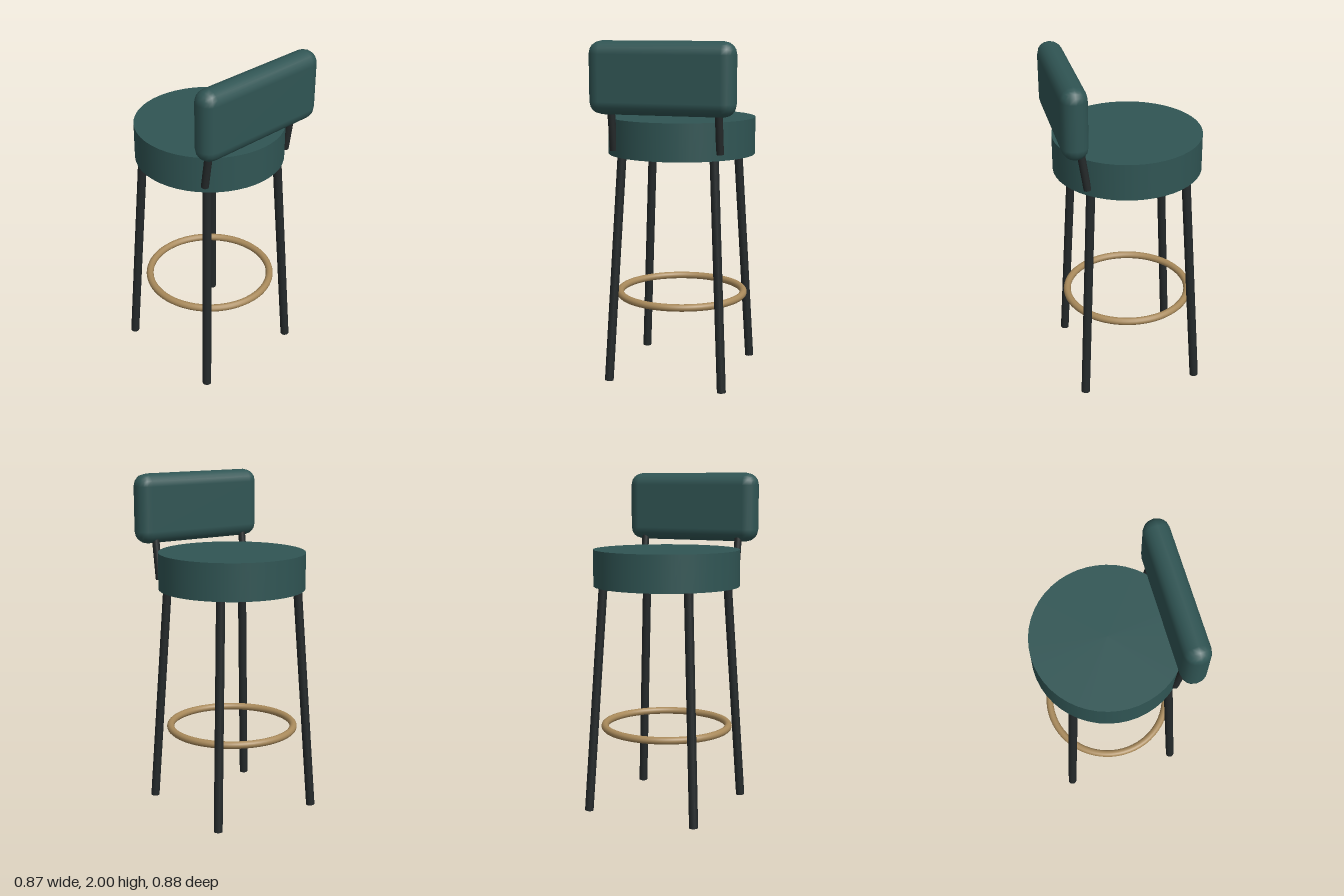
import * as THREE from 'three';
import { RoundedBoxGeometry } from 'three/addons/geometries/RoundedBoxGeometry.js';

const paint = (color) => new THREE.MeshStandardMaterial({ color });

// Straight round bar between two points
function bar(name, from, to, radius, material) {
  const a = new THREE.Vector3(...from), b = new THREE.Vector3(...to);
  const mesh = new THREE.Mesh(new THREE.CylinderGeometry(radius, radius, a.distanceTo(b), 16), material);
  mesh.name = name;
  mesh.position.addVectors(a, b).multiplyScalar(0.5);
  mesh.quaternion.setFromUnitVectors(new THREE.Vector3(0, 1, 0), b.sub(a).normalize());
  return mesh;
}

export function createModel() {
  const model = new THREE.Group();
  model.name = 'barStool';
  const fabric = paint(0x305554), metal = paint(0x24292a), brass = paint(0xa98a5b);
  const centreZ = -0.005;

  // Round padded seat
  const seat = new THREE.Mesh(new THREE.CylinderGeometry(0.434, 0.434, 0.216, 48), fabric);
  seat.name = 'seat';
  seat.position.set(0, 1.448, centreZ);
  model.add(seat);

  // Rounded back cushion
  const back = new THREE.Mesh(new RoundedBoxGeometry(0.852, 0.412, 0.15, 2, 0.074), fabric);
  back.name = 'backrest';
  back.position.set(0, 1.796, 0.367);
  model.add(back);

  // Four splayed legs and two leaning back supports
  for (const [sx, side] of [[1, 'left'], [-1, 'right']]) {
    for (const [sz, end] of [[1, 'Front'], [-1, 'Rear']]) {
      model.add(bar(side + end + 'Leg',
        [sx * 0.346, 0.002, centreZ + sz * 0.346],
        [sx * 0.274, 1.37, centreZ + sz * 0.274], 0.026, metal));
    }
    model.add(bar(side + 'BackSupport',
      [sx * 0.316, 1.378, 0.296], [sx * 0.316, 1.68, 0.341], 0.022, metal));
  }

  // Circular foot rest
  const ring = new THREE.Mesh(new THREE.TorusGeometry(0.374, 0.022, 12, 64), brass);
  ring.name = 'footRing';
  ring.rotation.x = Math.PI / 2;
  ring.position.set(0, 0.49, centreZ);
  model.add(ring);

  return model;
}
